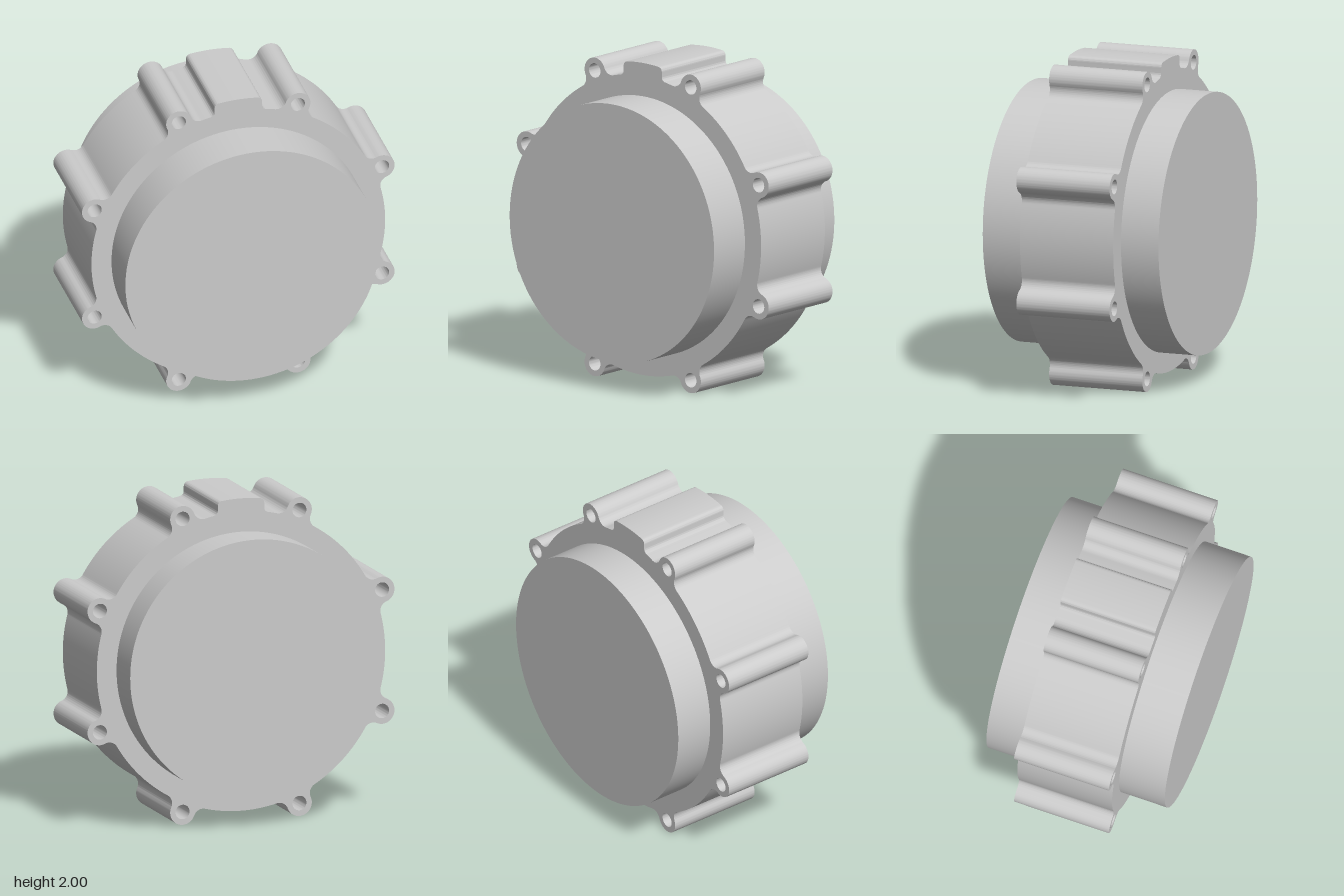
import * as THREE from 'three';
import { toCreasedNormals } from 'three/addons/utils/BufferGeometryUtils.js';

const CENTER_Y = 0.99;
const BODY_R = 0.803, BODY_LENGTH = 1.15;
const RING_R = 0.93, RING_BACK = -0.33, RING_FRONT = 0.28;
const LUG_DIST = 0.985, LUG_R = 0.08, HOLE_R = 0.045, LUG_FILLET = 0.06;
const PAD_R = 1.01, PAD_HALF = 0.15, PAD_FILLET = 0.03;

const polar = (r, a) => [r * Math.cos(a), r * Math.sin(a)];
const direction = (from, to) => Math.atan2(to[1] - from[1], to[0] - from[0]);

// Bolt lug blended into the ring by a concave fillet on each side
function addLug(shape, angle) {
  const d = RING_R + LUG_FILLET;
  const spread = Math.acos((d * d + LUG_DIST ** 2 - (LUG_R + LUG_FILLET) ** 2) / (2 * d * LUG_DIST));
  const lug = polar(LUG_DIST, angle);
  const before = polar(d, angle - spread);
  const after = polar(d, angle + spread);
  shape.absarc(...before, LUG_FILLET, angle - spread + Math.PI, direction(before, lug), true);
  shape.absarc(...lug, LUG_R, direction(lug, before), direction(lug, after), false);
  shape.absarc(...after, LUG_FILLET, direction(after, lug), angle + spread + Math.PI, true);
  return spread;
}

// Raised pad at the top with rounded corners and filleted feet
function addPad(shape) {
  const footX = PAD_HALF + PAD_FILLET, cornerX = PAD_HALF - PAD_FILLET;
  const footY = Math.sqrt((RING_R + PAD_FILLET) ** 2 - footX ** 2);
  const cornerY = Math.sqrt((PAD_R - PAD_FILLET) ** 2 - cornerX ** 2);
  const foot = Math.atan2(footY, footX), corner = Math.atan2(cornerY, cornerX);
  shape.absarc(0, 0, RING_R, Math.PI * 3 / 8 + 0.15, foot, false);
  shape.absarc(footX, footY, PAD_FILLET, foot + Math.PI, Math.PI, true);
  shape.absarc(cornerX, cornerY, PAD_FILLET, 0, corner, false);
  shape.absarc(0, 0, PAD_R, corner, Math.PI - corner, false);
  shape.absarc(-cornerX, cornerY, PAD_FILLET, Math.PI - corner, Math.PI, false);
  shape.absarc(-footX, footY, PAD_FILLET, 0, -foot, true);
  shape.absarc(0, 0, RING_R, Math.PI - foot, Math.PI * 5 / 8 - 0.15, false);
}

function flangeShape() {
  const shape = new THREE.Shape();
  for (let i = 0; i < 8; i++) {
    const angle = Math.PI / 8 + i * Math.PI / 4;
    const spread = addLug(shape, angle);
    // Ring outline on to the next lug
    if (i === 1) addPad(shape);
    else shape.absarc(0, 0, RING_R, angle + spread, angle + Math.PI / 4 - spread, false);
    const hole = new THREE.Path();
    hole.absarc(...polar(LUG_DIST, angle), HOLE_R, 0, Math.PI * 2, true);
    shape.holes.push(hole);
  }
  return shape;
}

export function createModel() {
  const group = new THREE.Group();
  const material = new THREE.MeshStandardMaterial({ color: 0xcccccc });

  // Plain drum running through the whole housing
  const drum = new THREE.Mesh(new THREE.CylinderGeometry(BODY_R, BODY_R, BODY_LENGTH, 128), material);
  drum.name = 'drum';
  drum.rotation.x = Math.PI / 2;
  drum.position.y = CENTER_Y;

  // Wide ring with eight bored lugs and the top pad
  const geometry = new THREE.ExtrudeGeometry(flangeShape(), {
    depth: RING_FRONT - RING_BACK, bevelEnabled: false, curveSegments: 20,
  });
  const flange = new THREE.Mesh(toCreasedNormals(geometry, 0.6), material);
  flange.name = 'luggedRing';
  flange.position.set(0, CENTER_Y, RING_BACK);

  group.add(drum, flange);
  return group;
}
